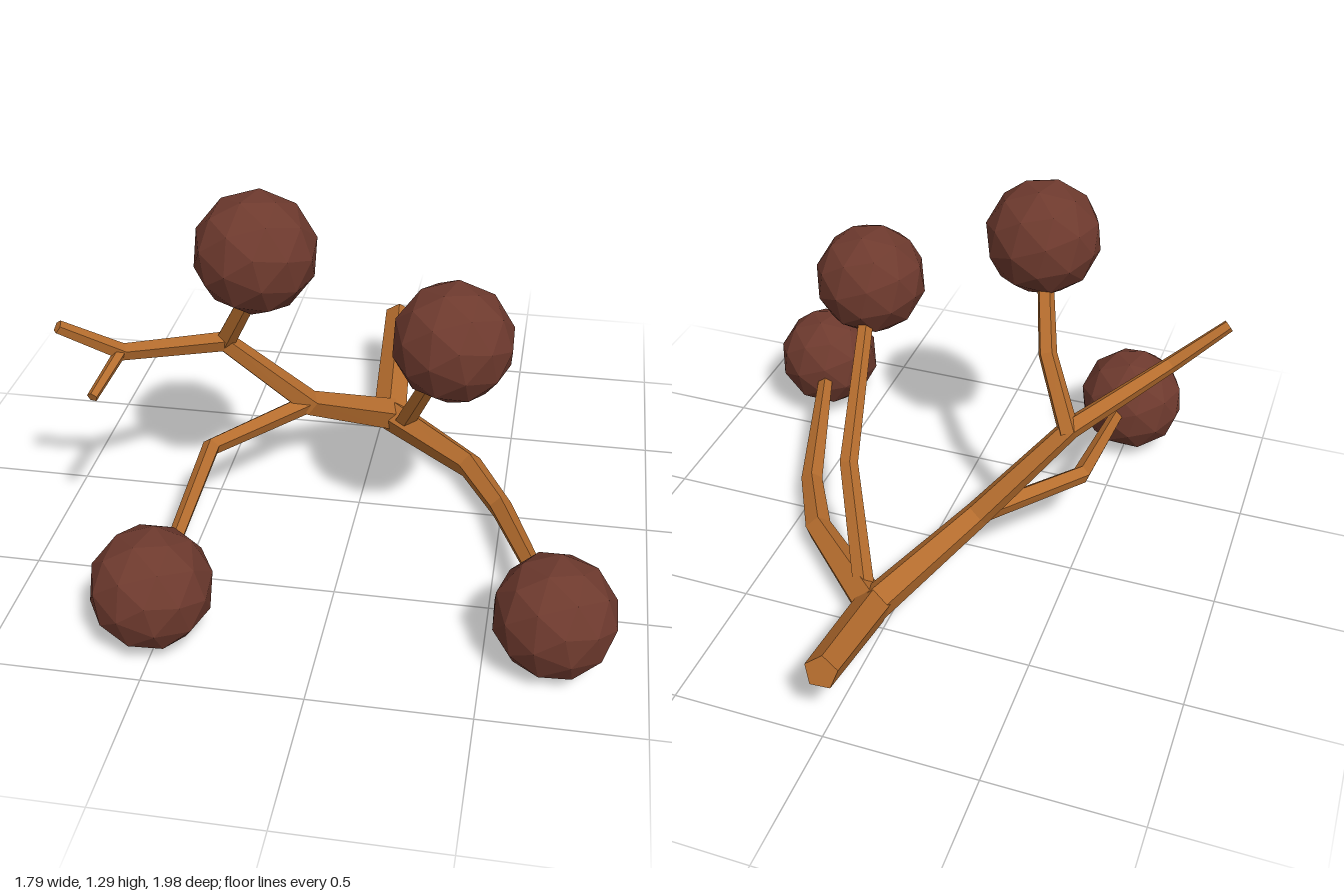
import * as THREE from 'three';

const SIDES = 5;
const bark = new THREE.MeshStandardMaterial({ color: 0xb56d2e, flatShading: true });
const fruit = new THREE.MeshStandardMaterial({ color: 0x6e3a2e, flatShading: true });

// Tapered five-sided limb through points [x, y, z, radius], mitred at the bends and capped
function limbGeometry(path) {
  const pts = path.map(([x, y, z]) => new THREE.Vector3(x, y, z));
  const pos = [], index = [];
  const up = new THREE.Vector3(0, 1, 0);
  const dirAt = i => new THREE.Vector3().subVectors(
    pts[Math.min(i + 1, pts.length - 1)], pts[Math.max(i - 1, 0)]).normalize();
  const normal = new THREE.Vector3();
  pts.forEach((p, i) => {
    const t = dirAt(i);
    if (i === 0) normal.copy(up);
    normal.addScaledVector(t, -normal.dot(t)).normalize();
    const side = new THREE.Vector3().crossVectors(t, normal);
    for (let k = 0; k < SIDES; k++) {
      const a = (k / SIDES) * Math.PI * 2, r = path[i][3];
      const v = p.clone().addScaledVector(normal, Math.cos(a) * r).addScaledVector(side, Math.sin(a) * r);
      pos.push(v.x, v.y, v.z);
    }
    if (i > 0) for (let k = 0; k < SIDES; k++) {
      const n = (k + 1) % SIDES, a = (i - 1) * SIDES, b = i * SIDES;
      index.push(a + k, a + n, b + n, a + k, b + n, b + k);
    }
  });
  // end caps
  const last = (pts.length - 1) * SIDES;
  for (let k = 1; k < SIDES - 1; k++) {
    index.push(0, k + 1, k, last, last + k, last + k + 1);
  }
  const g = new THREE.BufferGeometry();
  g.setAttribute('position', new THREE.Float32BufferAttribute(pos, 3));
  g.setIndex(index);
  const flat = g.toNonIndexed();
  flat.computeVertexNormals();
  return flat;
}

export function createModel() {
  const group = new THREE.Group();
  group.name = 'berryBranch';

  const limbs = {
    stem: [[0.005, 0.253, -0.975, 0.055], [0.04, 0.085, -0.48, 0.064]],
    rightBranch: [[0.05, 0.08, -0.49, 0.062], [-0.21, 0.3, -0.17, 0.047],
      [-0.47, 0.61, -0.02, 0.037], [-0.72, 0.72, 0.29, 0.029], [-0.885, 0.85, 0.39, 0.022]],
    rightTwig: [[-0.72, 0.725, 0.29, 0.021], [-0.76, 0.66, 0.48, 0.018]],
    upperStalk: [[-0.47, 0.6, -0.03, 0.036], [-0.36, 0.82, 0.07, 0.032], [-0.27, 1.1, 0.3, 0.026]],
    lowerStalk: [[-0.21, 0.3, -0.17, 0.036], [-0.48, 0.3, 0.16, 0.032], [-0.49, 0.215, 0.75, 0.024]],
    middleStalk: [[0.1, 0.09, -0.42, 0.037], [0.23, 0.43, -0.21, 0.032], [0.33, 0.82, 0.25, 0.025]],
    leftBranch: [[0.04, 0.08, -0.49, 0.062], [0.37, 0.09, -0.18, 0.047],
      [0.5, 0.09, 0.06, 0.04], [0.7, 0.2, 0.69, 0.025]],
  };
  for (const [name, path] of Object.entries(limbs)) {
    const mesh = new THREE.Mesh(limbGeometry(path), bark);
    mesh.name = name;
    group.add(mesh);
  }

  // Faceted berries at the stalk ends
  const berryGeometry = new THREE.IcosahedronGeometry(0.192, 1);
  const berries = {
    upperBerry: [-0.267, 1.113, 0.3],
    middleBerry: [0.338, 0.85, 0.285],
    lowerBerry: [-0.507, 0.212, 0.806],
    leftBerry: [0.709, 0.193, 0.72],
  };
  for (const [name, p] of Object.entries(berries)) {
    const berry = new THREE.Mesh(berryGeometry, fruit);
    berry.name = name;
    berry.position.set(...p);
    berry.rotation.set(0.25, 0.3, 0.15);
    group.add(berry);
  }
  return group;
}
